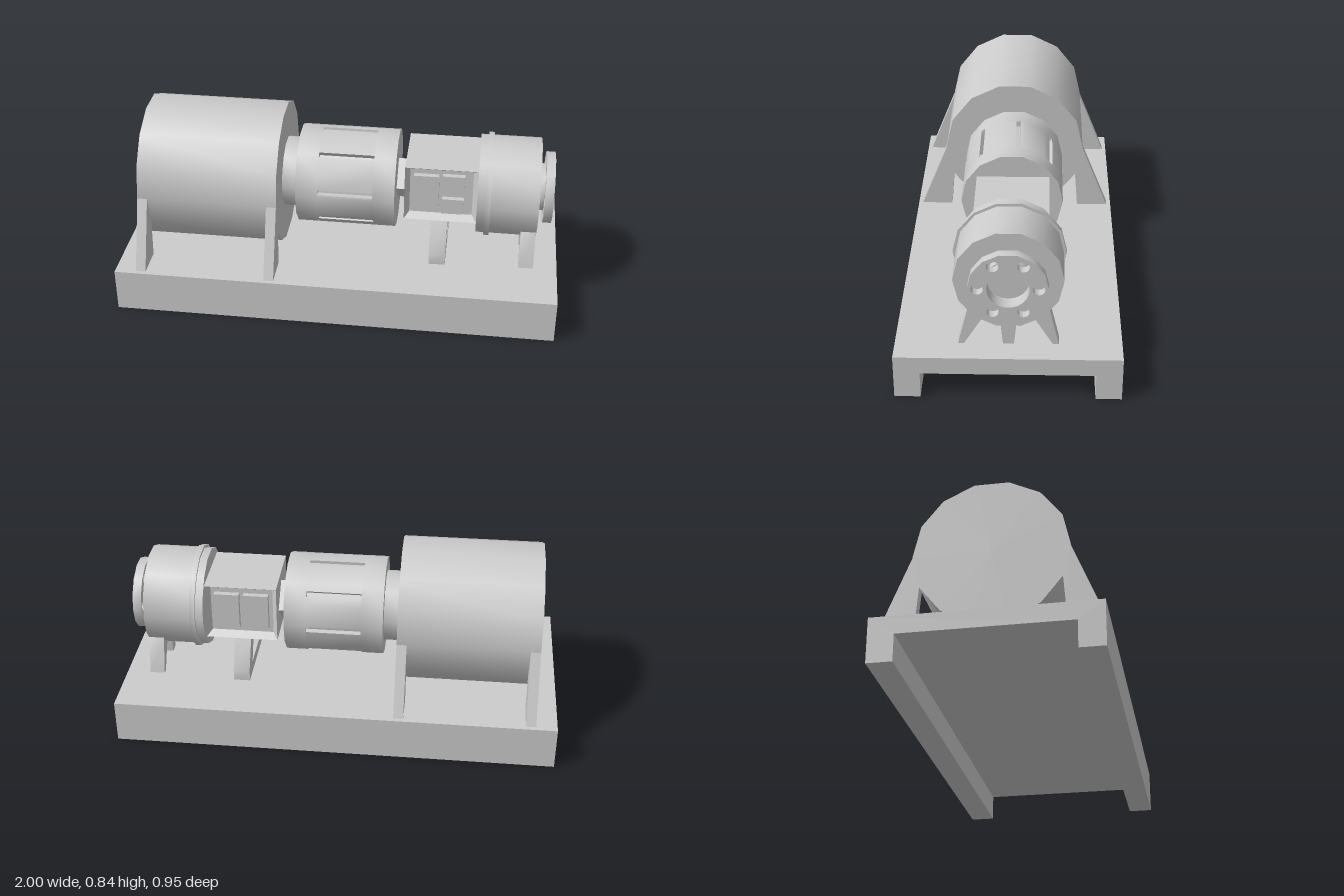
import * as THREE from 'three';
import { toCreasedNormals } from 'three/addons/utils/BufferGeometryUtils.js';

const AXIS = 0.515; // height of the drive line
const SIDES = 14;
const CREASE = 0.6;

export function createModel() {
  const root = new THREE.Group();
  root.name = 'pumpSet';
  const material = new THREE.MeshStandardMaterial({ color: 0xcccccc });

  const add = (name, geometry) => {
    const mesh = new THREE.Mesh(geometry, material);
    mesh.name = name;
    root.add(mesh);
    return mesh;
  };

  // Drum lying along x, from x0 to x1
  const drum = (name, x0, x1, r, sides = SIDES) => {
    const g = new THREE.CylinderGeometry(r, r, x1 - x0, sides);
    g.rotateZ(-Math.PI / 2);
    g.translate((x0 + x1) / 2, AXIS, 0);
    return add(name, toCreasedNormals(g, CREASE));
  };

  // Section given as [z, y] points, extruded from x0 to x1
  const toVec = ([z, y]) => new THREE.Vector2(-z, y);
  const section = (name, points, x0, x1, holes = []) => {
    const shape = new THREE.Shape(points.map(toVec));
    shape.holes.push(...holes);
    const g = new THREE.ExtrudeGeometry(shape, { depth: x1 - x0, bevelEnabled: false, curveSegments: 12 });
    g.rotateY(Math.PI / 2);
    g.translate(x0, 0, 0);
    return add(name, toCreasedNormals(g, CREASE));
  };
  const polar = (a, r) => [r * Math.sin(a), AXIS + r * Math.cos(a)];
  const mirrored = (points) => points.map(([z, y]) => [-z, y]);
  const circle = (z, y, r) => new THREE.Path().absarc(-z, y, r, 0, Math.PI * 2, true);
  const box = (name, x0, x1, y0, y1, z0, z1) => {
    const g = new THREE.BoxGeometry(x1 - x0, y1 - y0, z1 - z0);
    g.translate((x0 + x1) / 2, (y0 + y1) / 2, (z0 + z1) / 2);
    return add(name, g);
  };

  // Channel-shaped base
  section('base', [[-0.475, 0], [-0.475, 0.2], [0.475, 0.2], [0.475, 0],
    [0.365, 0], [0.365, 0.12], [-0.365, 0.12], [-0.365, 0]], -1, 1);

  // Large motor drum with four splayed legs
  drum('motorDrum', -0.905, -0.27, 0.33);
  const leg = [[0.328, 0.515], [0.455, 0.2], [0.31, 0.2], [0.296, 0.374]];
  for (const x of [-0.905, -0.315]) {
    section('motorLeg', leg, x, x + 0.045);
    section('motorLeg', mirrored(leg), x, x + 0.045);
  }
  drum('motorNeck', -0.27, -0.2, 0.163);

  // Coupling housing: plain ends and a middle cut by eight slots
  const R = 0.228;
  drum('housingEnd', -0.2, -0.1, R);
  drum('housingEnd', 0.15, 0.25, R);
  const step = (Math.PI * 2) / SIDES;
  const rimRadius = (a) => {
    const k = Math.floor(a / step + 0.5); // flats are centred on multiples of step
    return (R * Math.cos(step / 2)) / Math.cos(a - k * step);
  };
  const half = 0.05;
  const slots = Array.from({ length: 8 }, (_, i) => ((39 + 45 * i) * Math.PI) / 180);
  const rim = [];
  for (let i = 0; i < SIDES; i++) {
    const a = (i + 0.5) * step;
    if (slots.every((s) => Math.abs(s - a) > half)) rim.push([a, R]);
  }
  for (const s of slots) {
    rim.push([s - half, rimRadius(s - half)], [s - half + 1e-4, R - 0.03],
      [s + half - 1e-4, R - 0.03], [s + half, rimRadius(s + half)]);
  }
  rim.sort((p, q) => p[0] - q[0]);
  section('slottedHousing', rim.map(([a, r]) => polar(a, r)), -0.1, 0.15);
  drum('shaft', 0.25, 0.295, 0.103, 4);

  // Control box with a sloped recess on the front and back
  const ring = (inset, z) => [[0.29 + inset, 0.39 + inset], [0.62 - inset, 0.39 + inset],
    [0.62 - inset, 0.66 - inset], [0.29 + inset, 0.66 - inset]].map(([x, y]) => [x, y, z]);
  const rings = [ring(0.022, -0.13), ring(0, -0.165), ring(0, 0.155), ring(0.022, 0.12)];
  const tris = [];
  const quad = (a, b, c, d) => tris.push(...a, ...b, ...c, ...a, ...c, ...d);
  for (let k = 0; k < 3; k++) {
    for (let i = 0; i < 4; i++) {
      const j = (i + 1) % 4;
      quad(rings[k][i], rings[k][j], rings[k + 1][j], rings[k + 1][i]);
    }
  }
  quad(...rings[3]);
  quad(...[...rings[0]].reverse());
  const boxGeometry = new THREE.BufferGeometry();
  boxGeometry.setAttribute('position', new THREE.Float32BufferAttribute(tris, 3));
  boxGeometry.computeVertexNormals();
  add('controlBox', boxGeometry);

  // Raised panels in the recesses
  box('largePanel', 0.33, 0.445, 0.46, 0.615, 0.11, 0.145);
  box('smallPanel', 0.46, 0.56, 0.54, 0.62, 0.11, 0.145);
  box('smallPanel', 0.46, 0.56, 0.425, 0.5, 0.11, 0.145);
  box('rearPanel', 0.33, 0.445, 0.44, 0.615, -0.155, -0.12);
  box('rearPanel', 0.465, 0.58, 0.44, 0.615, -0.155, -0.12);

  // Bracket under the control box
  const opening = [[0.145, 0.25], [0.1, 0.34], [-0.1, 0.34], [-0.145, 0.25]];
  section('boxBracket', [[-0.23, 0.2], [-0.23, 0.25], [-0.15, 0.39], [0.15, 0.39], [0.23, 0.25], [0.23, 0.2]],
    0.415, 0.49, [new THREE.Path(opening.map(toVec))]);

  // Pump body, band and three legs
  drum('pumpBody', 0.62, 0.895, R);
  drum('pumpBand', 0.655, 0.68, 0.24);
  const strut = [[0.21, 0.2], [0.185, 0.2], [0.113, 0.32], [0.15, 0.39], [0.17, 0.37]];
  section('pumpLeg', strut, 0.825, 0.893);
  section('pumpLeg', mirrored(strut), 0.825, 0.893);
  section('pumpCentreLeg', [[-0.023, 0.2], [-0.033, 0.3], [0.033, 0.3], [0.023, 0.2]], 0.825, 0.893);

  // Inlet neck and bolted flange
  const gon = (r) => Array.from({ length: SIDES }, (_, i) => polar((i + 0.5) * step, r));
  section('inletNeck', gon(0.108), 0.895, 0.92, [circle(0, AXIS, 0.087)]);
  const bores = [circle(0, AXIS, 0.087)];
  for (let i = 0; i < 6; i++) {
    const [z, y] = polar(Math.PI / 2 + (i * Math.PI) / 3, 0.125);
    bores.push(circle(z, y, 0.025));
  }
  section('inletFlange', gon(0.165), 0.92, 0.96, bores);

  return root;
}
